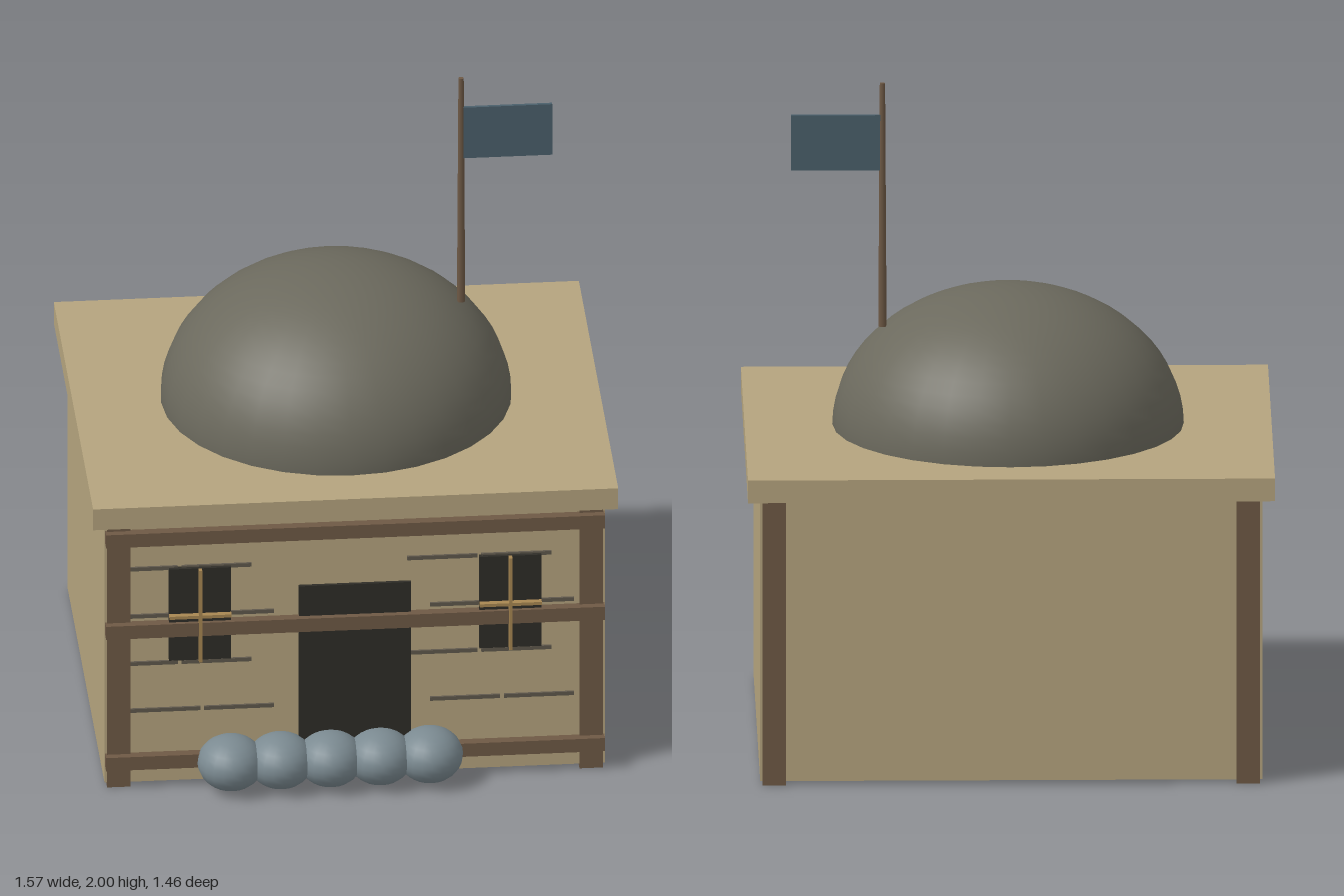
import * as THREE from 'three';

const material = (color, extra = {}) => {
  const m = new THREE.MeshStandardMaterial(extra);
  m.color.setHex(color);
  return m;
};

export function createModel() {
  const model = new THREE.Group();
  model.name = 'domedHut';

  const plaster = material(0xb5a47e);
  const timber = material(0x6e5945);
  const dark = material(0x2e2c27);
  const brick = material(0x5f584c);
  const brass = material(0xa88752);
  const stone = material(0x6b695d);
  const sack = material(0x7b8a91);
  const cloth = material(0x4a5f6b);

  const add = (name, geometry, mat, x, y, z) => {
    const mesh = new THREE.Mesh(geometry, mat);
    mesh.name = name;
    mesh.position.set(x, y, z);
    model.add(mesh);
    return mesh;
  };
  // Box given by its lower and upper limits on each axis
  const box = (name, mat, [x0, x1], [y0, y1], [z0, z1]) =>
    add(name, new THREE.BoxGeometry(x1 - x0, y1 - y0, z1 - z0), mat,
      (x0 + x1) / 2, (y0 + y1) / 2, (z0 + z1) / 2);

  // Body and flat roof
  box('walls', plaster, [-0.75, 0.75], [0.012, 0.88], [-0.69, 0.585]);
  box('roofSlab', plaster, [-0.787, 0.787], [0.88, 0.95], [-0.73, 0.617]);

  // Dome
  const dome = add('dome', new THREE.SphereGeometry(0.525, 32, 16, 0, Math.PI * 2, 0, Math.PI / 2),
    stone, 0, 0.95, -0.06);
  dome.scale.y = 0.8;

  // Corner timbers running through the depth of the body
  for (const s of [-1, 1]) {
    add('cornerTimber', new THREE.BoxGeometry(0.07, 0.88, 1.29), timber, s * 0.708, 0.44, -0.052);
  }

  // Horizontal front beams
  for (const y of [0.088, 0.53, 0.838]) {
    box('frontBeam', timber, [-0.748, 0.748], [y - 0.022, y + 0.022], [0.57, 0.615]);
  }

  // Doorway
  box('door', dark, [-0.168, 0.168], [0.015, 0.652], [0.57, 0.596]);

  // Windows with crossed bars
  for (const s of [-1, 1]) {
    const x = s * 0.465;
    box('windowPane', dark, [x - 0.093, x + 0.093], [0.423, 0.73], [0.57, 0.603]);
    box('windowUpright', brass, [x - 0.005, x + 0.005], [0.423, 0.73], [0.6, 0.621]);
    box('windowCrossbar', brass, [x - 0.093, x + 0.093], [0.57, 0.58], [0.6, 0.621]);
  }

  // Staggered brick courses
  [0.253, 0.411, 0.57, 0.729].forEach((y, row) => {
    const shift = row % 2 ? 0 : 0.068;
    // the second and fourth courses sit further left
    for (const x of [-0.636, -0.415, 0.262, 0.484]) {
      const cx = x + shift;
      box('brickCourse', brick, [cx - 0.105, cx + 0.105], [y - 0.006, y + 0.006], [0.575, 0.592]);
    }
  });

  // Row of sandbags before the door
  for (let i = 0; i < 5; i++) {
    const bag = add('sandbag', new THREE.SphereGeometry(0.1, 20, 14), sack, -0.375 + i * 0.149, 0.087, 0.627);
    bag.scale.set(1, 0.83, 1.05);
  }

  // Flag on its pole
  add('flagPole', new THREE.CylinderGeometry(0.008, 0.0125, 0.75, 8), timber, 0.375, 1.625, -0.058);
  box('flag', cloth, [0.38, 0.648], [1.732, 1.902], [-0.063, -0.053]);

  return model;
}
